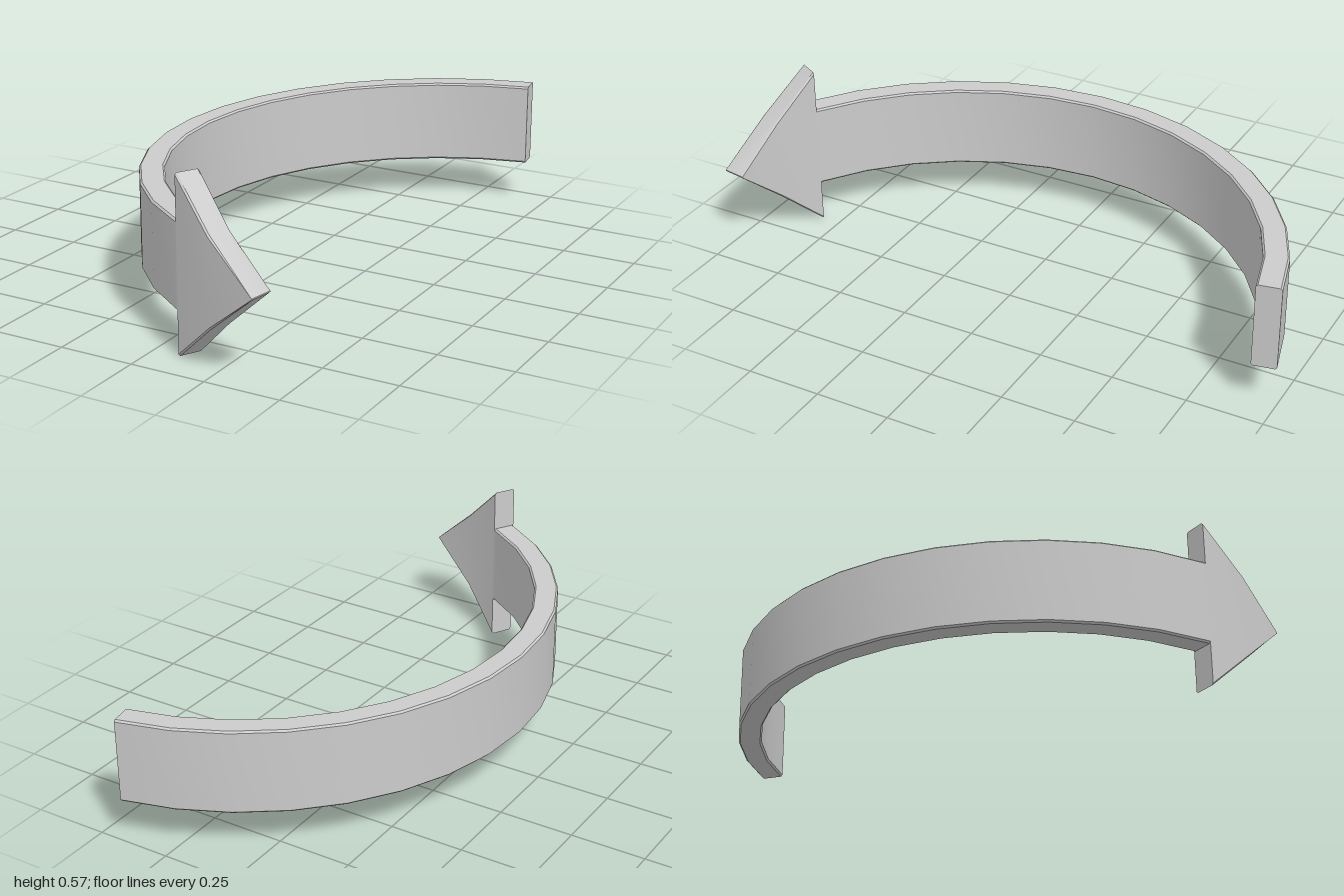
import * as THREE from 'three';
import { toCreasedNormals } from 'three/addons/utils/BufferGeometryUtils.js';

const CENTRE_X = 0.5885, OUTER = 1.0154, INNER = 0.935, MID_Y = 0.285, BEVEL = 0.006;

// Bevelled rectangular cross-section at an angle along the arc (degrees)
function section(deg, half) {
  const a = THREE.MathUtils.degToRad(deg);
  const b = BEVEL, v = Math.min(b, half * 0.5);
  return [
    [INNER + b, -half], [OUTER - b, -half], [OUTER, -half + v], [OUTER, half - v],
    [OUTER - b, half], [INNER + b, half], [INNER, half - v], [INNER, -half + v],
  ].map(([r, y]) => [CENTRE_X - r * Math.cos(a), MID_Y + y, r * Math.sin(a)]);
}

// Joins cross-sections into a closed solid with creased edges
function sweep(sections) {
  const pos = [];
  const tri = (...pts) => pts.forEach((p) => pos.push(...p));
  const n = sections[0].length;
  for (let s = 0; s < sections.length - 1; s++) {
    const A = sections[s], B = sections[s + 1];
    for (let i = 0; i < n; i++) {
      const j = (i + 1) % n;
      tri(A[j], A[i], B[i]);
      tri(A[j], B[i], B[j]);
    }
  }
  const first = sections[0], last = sections[sections.length - 1];
  for (let i = 1; i < n - 1; i++) {
    tri(first[0], first[i], first[i + 1]);
    tri(last[0], last[i + 1], last[i]);
  }
  const geo = new THREE.BufferGeometry();
  geo.setAttribute('position', new THREE.Float32BufferAttribute(pos, 3));
  return toCreasedNormals(geo, THREE.MathUtils.degToRad(25));
}

export function createModel() {
  const group = new THREE.Group();
  group.name = 'curvedArrow';
  const material = new THREE.MeshStandardMaterial({ color: 0xcccccc });
  const add = (name, sections) => {
    const mesh = new THREE.Mesh(sweep(sections), material);
    mesh.name = name;
    group.add(mesh);
  };

  // Curved shaft in ten-degree facets
  const shaft = [];
  for (let deg = -80; deg <= 60; deg += 10) shaft.push(section(deg, 0.1425));
  shaft.push(section(60.6, 0.1425));
  add('shaft', shaft);

  // Arrowhead following the same arc, tapering to a point
  add('arrowhead', [section(60.6, 0.285), section(70, 0.145), section(80, 0.002)]);

  return group;
}
